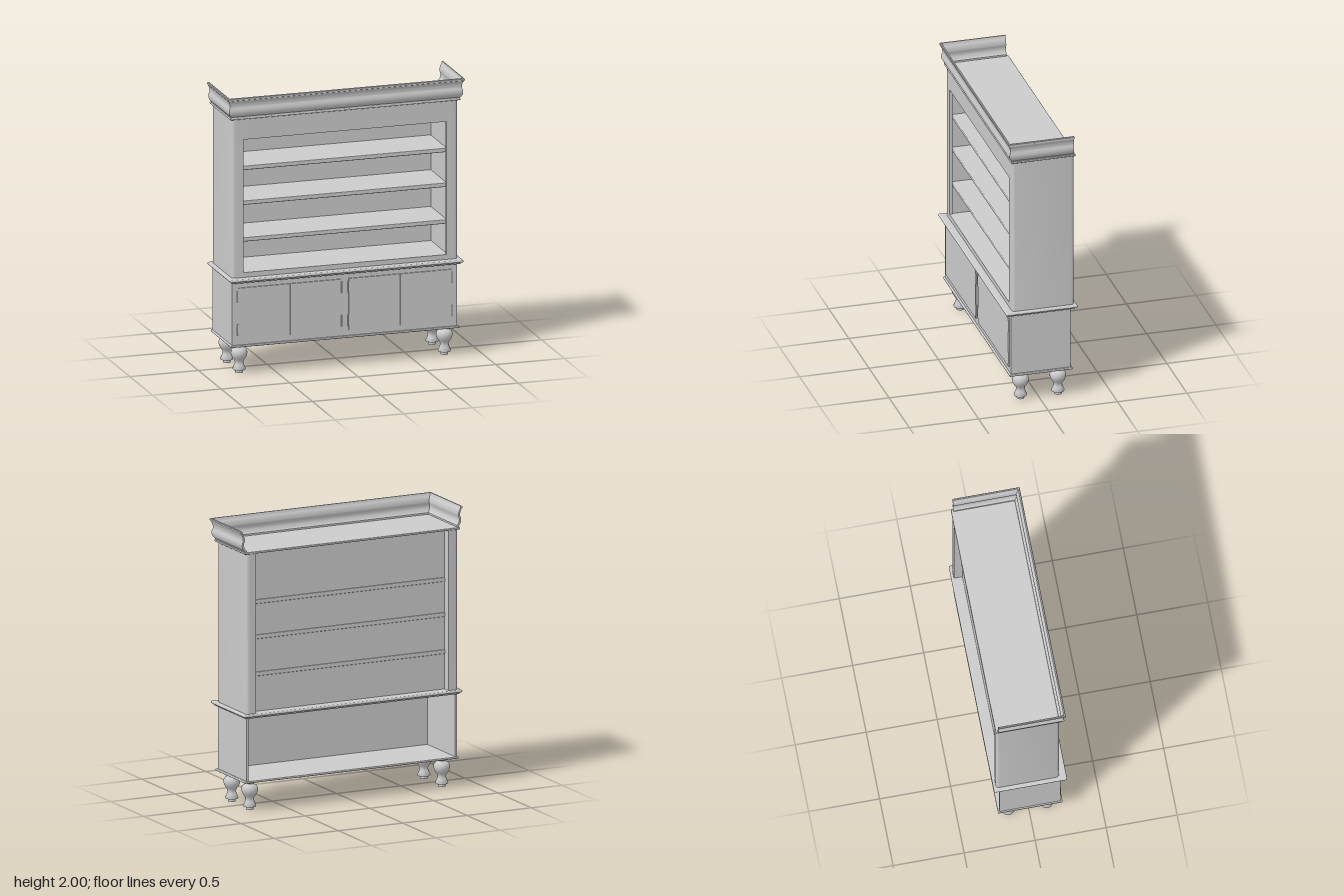
import * as THREE from 'three';
import { toCreasedNormals } from 'three/addons/utils/BufferGeometryUtils.js';
import { RoundedBoxGeometry } from 'three/addons/geometries/RoundedBoxGeometry.js';

const material = new THREE.MeshStandardMaterial({ color: 0xcccccc });

function add(parent, name, geometry, x = 0, y = 0, z = 0) {
  const mesh = new THREE.Mesh(geometry, material);
  mesh.name = name;
  mesh.position.set(x, y, z);
  parent.add(mesh);
  return mesh;
}

// Box given by its limits; a radius rounds its edges
function slab(parent, name, [x0, x1], [y0, y1], [z0, z1], radius = 0) {
  const size = [x1 - x0, y1 - y0, z1 - z0];
  const geometry = radius
    ? new RoundedBoxGeometry(...size, 3, radius)
    : new THREE.BoxGeometry(...size);
  return add(parent, name, geometry, (x0 + x1) / 2, (y0 + y1) / 2, (z0 + z1) / 2);
}

// Cornice profile: distance out from the case, height; the inside echoes the outside
function cornicePart(place) {
  const s = new THREE.Shape();
  s.moveTo(0, 1.85);
  s.lineTo(0.014, 1.85);
  s.lineTo(0.014, 1.86);
  s.bezierCurveTo(0.036, 1.88, 0.036, 1.91, 0.024, 1.93);
  s.lineTo(0.024, 1.94);
  s.quadraticCurveTo(0.025, 1.965, 0.035, 1.976);
  s.lineTo(0.035, 1.982);
  s.lineTo(0.041, 1.985);
  s.lineTo(0.041, 1.996);
  s.lineTo(0.037, 2);
  s.lineTo(0.029, 2);
  s.lineTo(0.025, 1.98);
  s.quadraticCurveTo(0.013, 1.965, 0.012, 1.94);
  s.lineTo(0.012, 1.93);
  s.bezierCurveTo(0.022, 1.91, 0.022, 1.885, 0, 1.865);
  const g = new THREE.ExtrudeGeometry(s, { depth: 1, bevelEnabled: false, curveSegments: 8 });
  const p = g.attributes.position;
  for (let i = 0; i < p.count; i++) p.setXYZ(i, ...place(p.getX(i), p.getY(i), p.getZ(i)));
  g.computeVertexNormals();
  return toCreasedNormals(g, 0.6);
}

function buildCornice(parent) {
  const a = 0.82, front = 0.202, back = -0.23;
  const cornice = new THREE.Group();
  cornice.name = 'cornice';
  parent.add(cornice);
  // The ends follow the profile so that the corners are mitred
  add(cornice, 'corniceFront', cornicePart((o, y, t) => [(1 - 2 * t) * (a + o), y, front + o]));
  add(cornice, 'corniceLeft', cornicePart((o, y, t) => [a + o, y, back + t * (front + o - back)]));
  add(cornice, 'corniceRight', cornicePart((o, y, t) => [-a - o, y, front + o - t * (front + o - back)]));
}

// Upright side with rounded outer corners, drawn in plan
function sidePanel(parent, name, sign) {
  const r = 0.025, x0 = 0.75, x1 = 0.822, z0 = -0.24, z1 = 0.205;
  const s = new THREE.Shape();
  s.moveTo(sign * x0, -z0);
  s.lineTo(sign * (x1 - r), -z0);
  s.quadraticCurveTo(sign * x1, -z0, sign * x1, -z0 - r);
  s.lineTo(sign * x1, -z1 + r);
  s.quadraticCurveTo(sign * x1, -z1, sign * (x1 - r), -z1);
  s.lineTo(sign * x0, -z1);
  const g = new THREE.ExtrudeGeometry(s, { depth: 1.14, bevelEnabled: false, curveSegments: 6 });
  g.rotateX(-Math.PI / 2);
  add(parent, name, toCreasedNormals(g, 0.6), 0, 0.7, 0);
}

function buildBookcase(parent) {
  const bookcase = new THREE.Group();
  bookcase.name = 'bookcase';
  parent.add(bookcase);
  sidePanel(bookcase, 'leftSide', 1);
  sidePanel(bookcase, 'rightSide', -1);

  // Face frame with one large opening
  const face = new THREE.Shape();
  face.moveTo(-0.75, 0.7).lineTo(0.75, 0.7).lineTo(0.75, 1.84).lineTo(-0.75, 1.84);
  const hole = new THREE.Path();
  hole.moveTo(-0.74, 0.735).lineTo(-0.74, 1.69).lineTo(0.74, 1.69).lineTo(0.74, 0.735);
  face.holes.push(hole);
  add(bookcase, 'faceFrame',
    new THREE.ExtrudeGeometry(face, { depth: 0.02, bevelEnabled: false }), 0, 0, 0.185);

  slab(bookcase, 'backPanel', [-0.75, 0.75], [0.7, 1.84], [-0.18, -0.17]);
  slab(bookcase, 'floor', [-0.75, 0.75], [0.71, 0.735], [-0.17, 0.185]);
  for (const y of [0.98, 1.244, 1.494])
    slab(bookcase, 'shelf', [-0.752, 0.752], [y - 0.03, y], [-0.187, 0.185], 0.006);
  slab(bookcase, 'topBoard', [-0.838, 0.838], [1.838, 1.853], [-0.246, 0.217], 0.005);
}

function buildBase(parent) {
  const base = new THREE.Group();
  base.name = 'baseCabinet';
  parent.add(base);
  slab(base, 'counterTop', [-0.85, 0.848], [0.68, 0.7], [-0.259, 0.256], 0.009);
  slab(base, 'counterMoulding', [-0.835, 0.833], [0.668, 0.682], [-0.243, 0.24], 0.005);
  slab(base, 'bottomBoard', [-0.835, 0.828], [0.205, 0.22], [-0.229, 0.226], 0.006);
  slab(base, 'rightPanel', [-0.825, -0.81], [0.22, 0.67], [-0.217, 0.213]);
  slab(base, 'leftPanel', [0.798, 0.813], [0.22, 0.67], [-0.217, 0.213]);
  slab(base, 'frontPanel', [-0.81, 0.798], [0.22, 0.67], [0.195, 0.213]);

  // Two pairs of doors, hinged at the outer edges of each pair
  for (const x of [-0.78, 0.023]) {
    for (const dx of [0, 0.376])
      slab(base, 'door', [x + dx, x + dx + 0.371], [0.26, 0.63], [0.2, 0.222]);
    for (const hx of [x - 0.004, x + 0.751])
      for (const y of [0.33, 0.57])
        add(base, 'hinge', new THREE.CylinderGeometry(0.006, 0.006, 0.08, 10), hx, y, 0.217);
  }
}

// Turned foot
function buildLegs(parent) {
  const rings = [[0, 0], [0.027, 0], [0.027, 0.02], [0.044, 0.022], [0.046, 0.03], [0.034, 0.055],
    [0.029, 0.072], [0.032, 0.088], [0.045, 0.105], [0.055, 0.124], [0.058, 0.142], [0.055, 0.16],
    [0.045, 0.174], [0.03, 0.18], [0.028, 0.186], [0.044, 0.196], [0.046, 0.206], [0, 0.206]];
  const lathe = new THREE.LatheGeometry(rings.map(([r, y]) => new THREE.Vector2(r, y)), 24);
  const geometry = toCreasedNormals(lathe, 0.9);
  for (const x of [-0.746, 0.749])
    for (const z of [0.127, -0.143])
      add(parent, z > 0 ? 'frontLeg' : 'backLeg', geometry, x, 0, z);
}

export function createModel() {
  const model = new THREE.Group();
  model.name = 'displayCabinet';
  buildLegs(model);
  buildBase(model);
  buildBookcase(model);
  buildCornice(model);
  return model;
}
